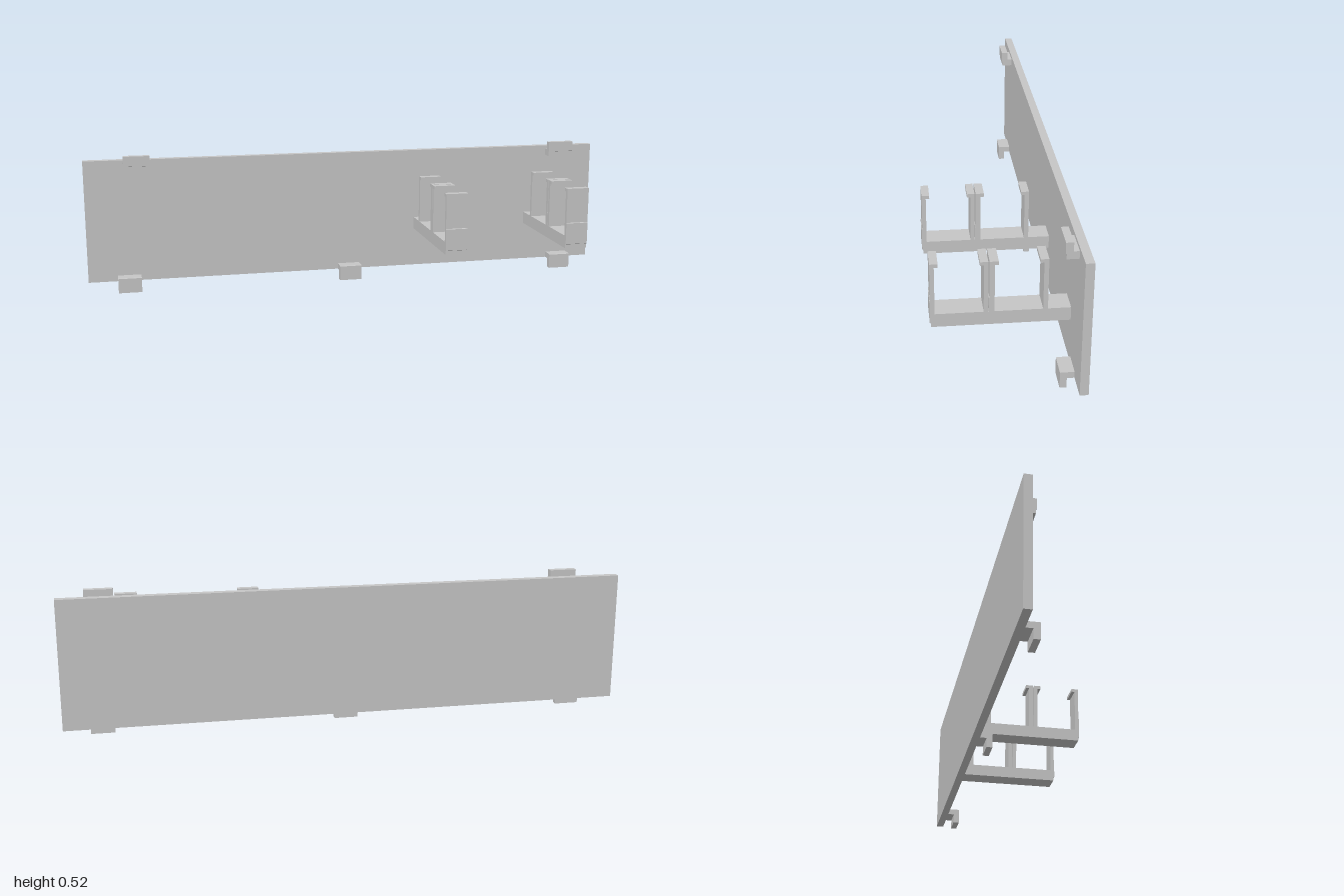
import * as THREE from 'three';

const grey = new THREE.MeshStandardMaterial({ color: 0xc6c6c6 });
grey.name = 'light grey plastic';

// Extrudes a side profile of [z, y] points between two x positions
function extrudeSide(name, points, x0, x1) {
  const shape = new THREE.Shape(points.map(([z, y]) => new THREE.Vector2(z, y)));
  const geo = new THREE.ExtrudeGeometry(shape, { depth: x1 - x0, bevelEnabled: false });
  geo.rotateY(-Math.PI / 2).translate(x1, 0, 0);
  const mesh = new THREE.Mesh(geo, grey);
  mesh.name = name;
  return mesh;
}

// Two cradles in a row, each with two lipped posts, on one arm
const bracketProfile = [
  [-0.207, 0.183], [0.231, 0.183], [0.231, 0.197], [0.235, 0.199], [0.235, 0.277], [0.233, 0.279],
  [0.233, 0.406], [0.207, 0.406], [0.207, 0.394], [0.219, 0.394], [0.219, 0.229],
  [0.067, 0.229], [0.067, 0.394], [0.079, 0.394], [0.079, 0.406], [0.053, 0.406],
  [0.053, 0.229], [0.051, 0.229], [0.051, 0.277], [0.049, 0.279],
  [0.049, 0.406], [0.021, 0.406], [0.021, 0.394], [0.033, 0.394], [0.033, 0.229],
  [-0.119, 0.229], [-0.119, 0.394], [-0.107, 0.394], [-0.107, 0.406], [-0.134, 0.406],
  [-0.134, 0.229], [-0.207, 0.229],
];

// Upward hook along the top edge
const topClipProfile = [
  [-0.207, 0.46], [-0.168, 0.46], [-0.168, 0.478], [-0.165, 0.479], [-0.165, 0.516],
  [-0.189, 0.516], [-0.189, 0.486], [-0.207, 0.486],
];

// Downward hook along the bottom edge
const bottomClipProfile = [
  [-0.207, 0.035], [-0.183, 0.035], [-0.183, 0], [-0.161, 0], [-0.161, 0.055],
  [-0.163, 0.057], [-0.207, 0.057],
];

export function createModel() {
  const model = new THREE.Group();
  model.name = 'wallPanelWithBrackets';

  // Flat back panel
  const panel = new THREE.Mesh(new THREE.BoxGeometry(2, 0.462, 0.028), grey);
  panel.name = 'panel';
  panel.position.set(0, 0.266, -0.221);
  model.add(panel);

  for (const [x0, x1] of [[0.264, 0.344], [0.723, 0.806]])
    model.add(extrudeSide('cradleBracket', bracketProfile, x0, x1));
  for (const [x0, x1] of [[-0.854, -0.757], [0.807, 0.906]])
    model.add(extrudeSide('topClip', topClipProfile, x0, x1));
  for (const [x0, x1] of [[-0.891, -0.804], [-0.043, 0.042], [0.824, 0.908]])
    model.add(extrudeSide('bottomClip', bottomClipProfile, x0, x1));

  return model;
}
